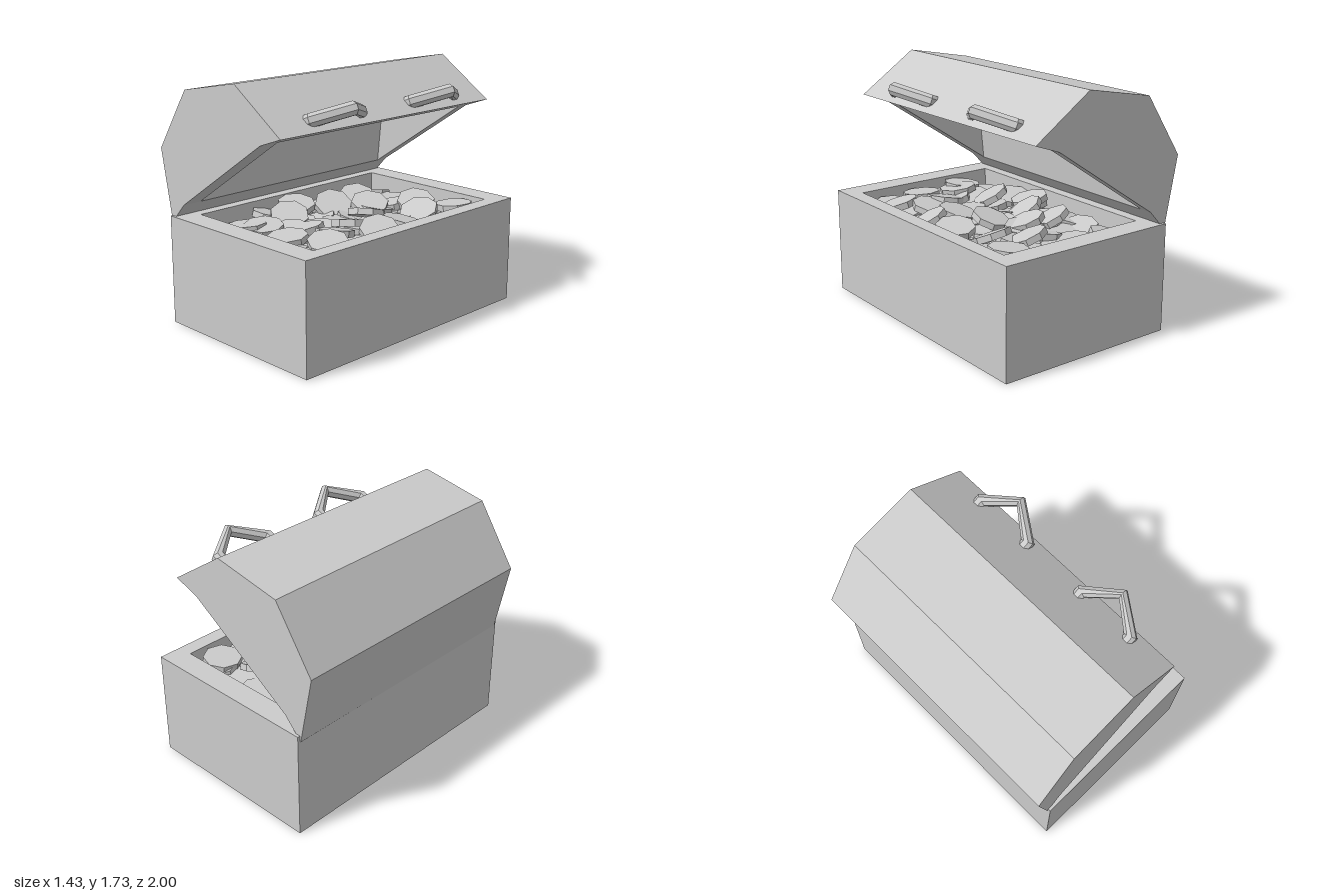
import * as THREE from 'three';

const material = new THREE.MeshStandardMaterial({ color: 0xcccccc, flatShading: true });

function mesh(name, geometry) {
  const m = new THREE.Mesh(geometry, material);
  m.name = name;
  return m;
}

const toShape = (pts) => new THREE.Shape(pts.map(([x, y]) => new THREE.Vector2(x, y)));

function slab(pts, z0, z1) {
  return new THREE.ExtrudeGeometry(toShape(pts), { depth: z1 - z0, bevelEnabled: false }).translate(0, 0, z0);
}

function seeded(seed) {
  return () => (seed = (seed * 16807) % 2147483647) / 2147483647;
}

// Open box with thick walls and a floor
function createBody() {
  const body = new THREE.Group();
  body.name = 'chestBody';
  const walls = toShape([[-0.615, -1], [0.715, -1], [0.715, 1], [-0.615, 1]]);
  walls.holes.push(toShape([[-0.5, -0.835], [-0.5, 0.835], [0.605, 0.835], [0.605, -0.835]]));
  const frame = new THREE.ExtrudeGeometry(walls, { depth: 0.76, bevelEnabled: false }).rotateX(-Math.PI / 2);
  const floor = new THREE.BoxGeometry(1.105, 0.1, 1.67).translate(0.0525, 0.05, 0);
  body.add(mesh('walls', frame), mesh('floor', floor));
  return body;
}

// Faceted lid, already swung open: hollow shell between two solid ends
function createLid() {
  const lid = new THREE.Group();
  lid.name = 'lid';
  const outer = [[-0.49, 0.855], [-0.62, 0.715], [-0.72, 1.21], [-0.435, 1.635],
    [0.065, 1.73], [0.485, 1.445], [0.3, 1.38]];
  const inner = [[0.05, 1.6], [-0.42, 1.53]];
  lid.add(
    mesh('lidShell', slab([...outer, ...inner], -0.89, 0.84)),
    mesh('lidEnd', slab(outer, 0.84, 0.98)),
    mesh('lidEnd', slab(outer, -0.98, -0.89)),
  );
  return lid;
}

// Chevron handle with chamfered edges, standing out from the lid front
function createHandle(z) {
  const half = [[-0.02, 0.255], [0.1, 0.255], [0.285, 0]];
  const innerHalf = [[0.215, 0], [0.07, 0.175], [-0.02, 0.175]];
  const flip = ([u, v]) => [u, -v];
  const outline = [...half, ...half.slice(0, 2).reverse().map(flip),
    ...innerHalf.slice(1).reverse().map(flip), ...innerHalf];
  const geometry = new THREE.ExtrudeGeometry(toShape(outline), {
    depth: 0.04, bevelSize: 0.022, bevelThickness: 0.025, bevelOffset: -0.022, bevelSegments: 1,
  });
  geometry.translate(0, 0, -0.02).rotateX(-Math.PI / 2);
  const handle = mesh('handle', geometry);
  handle.rotation.z = 0.42;
  handle.position.set(0.335, 1.475, z);
  return handle;
}

// Heap of eight-sided coins: a scattered bed and a top layer
function createCoins() {
  const coins = new THREE.Group();
  coins.name = 'coins';
  const geometry = new THREE.CylinderGeometry(0.135, 0.135, 0.045, 8);
  const rand = seeded(41);
  const addCoin = (x, y, z, tiltX, tiltZ) => {
    const coin = mesh('coin', geometry);
    coin.position.set(x, y, z);
    coin.rotation.set(tiltX, rand() * Math.PI, tiltZ, 'XZY');
    coins.add(coin);
  };
  const wobble = (amount) => (rand() - 0.5) * amount;

  for (let layer = 0; layer < 2; layer++) {
    for (let i = 0; i < 5; i++) {
      for (let j = 0; j < 8; j++) {
        addCoin(-0.35 + i * 0.2 + wobble(0.06), 0.6 + layer * 0.06 + wobble(0.04),
          -0.69 + j * 0.197 + wobble(0.06), wobble(0.5), wobble(0.5));
      }
    }
  }
  // x, z, tilt about x, tilt about z
  const top = [
    [-0.16, -0.08, 0.3, -0.5], [-0.17, 0.33, 0.3, -0.4], [-0.18, -0.34, 0.3, -0.4],
    [0, -0.29, 0.2, -0.3], [0.2, -0.56, 0.3, -0.3], [0.37, -0.4, 0.4, -0.1],
    [0.45, -0.68, 0, 0.1], [0.5, 0.14, 0.3, -0.4], [0.32, 0.38, -0.2, 0.1],
    [0.13, 0.47, 0.1, 0.2], [-0.09, 0.63, 0.1, -0.1], [0.46, 0.57, 0.2, -0.2],
    [0.25, 0.15, -0.2, 0.2], [-0.18, 0.7, 0, 0.1], [0.46, -0.12, -0.2, -0.1],
    [0.2, 0.68, 0.1, 0], [-0.35, 0.1, 0.1, -0.2], [0.15, -0.1, -0.3, 0.2],
  ];
  for (const [x, z, tiltX, tiltZ] of top) addCoin(x, 0.715, z, tiltX, tiltZ);
  return coins;
}

export function createModel() {
  const model = new THREE.Group();
  model.name = 'treasureChest';
  model.add(createBody(), createLid(), createCoins());
  for (const z of [-0.475, 0.445]) model.add(createHandle(z));
  return model;
}
